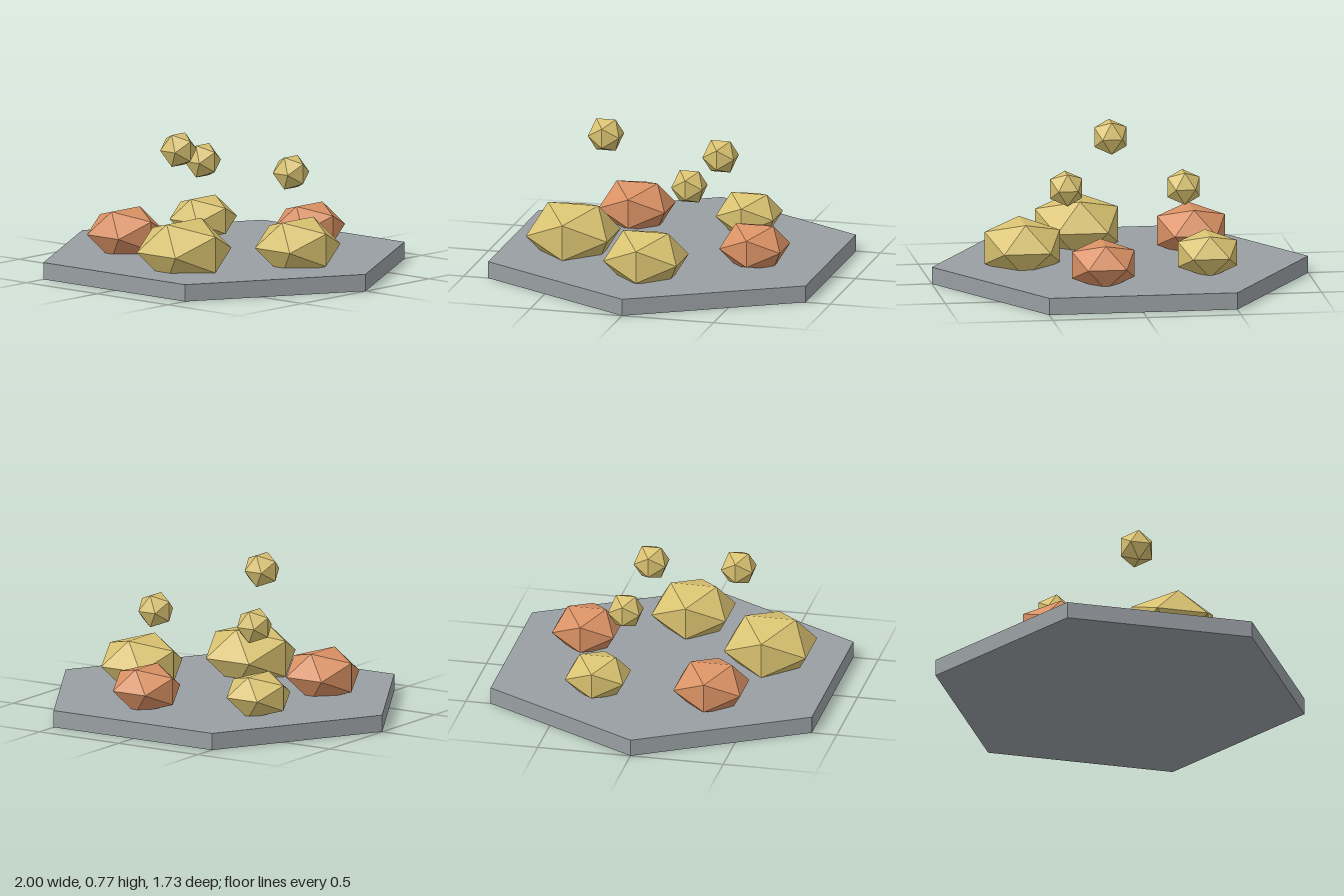
import * as THREE from 'three';

const material = (name, color) => {
  const m = new THREE.MeshStandardMaterial({ color, flatShading: true });
  m.name = name;
  return m;
};

export function createModel() {
  const group = new THREE.Group();
  const stone = material('grey stone', 0x989ea2);
  const gold = material('pale gold', 0xd8c170);
  const copper = material('copper', 0xd99164);

  const add = (name, geometry, mat, x, y, z) => {
    const mesh = new THREE.Mesh(geometry, mat);
    mesh.name = name;
    mesh.position.set(x, y, z);
    group.add(mesh);
  };

  // Twenty-sided nugget with its top edge running front to back
  const nugget = (radius, squash) =>
    new THREE.IcosahedronGeometry(radius, 0).rotateY(Math.PI / 2).scale(1, squash, 1);

  // Hexagonal slab with corners on the x axis
  add('base', new THREE.CylinderGeometry(1, 1, 0.09, 6).rotateY(Math.PI / 6), stone, 0, 0.045, 0);

  // Ring of five flattened nuggets, partly sunk into the slab
  const rocks = [[0.235, gold], [0.26, gold], [0.212, copper], [0.185, gold], [0.195, copper]];
  rocks.forEach(([radius, mat], i) => {
    const a = (i * Math.PI * 2) / 5;
    add('nugget' + (i + 1), nugget(radius, 0.7), mat, 0.52 * Math.cos(a), 0.185, 0.52 * Math.sin(a));
  });

  // Three small nuggets floating above
  [0.685, 0.52, 0.53].forEach((y, i) => {
    const a = Math.PI / 2 + (i * Math.PI * 2) / 3;
    add('floatingNugget' + (i + 1), nugget(0.1, 1), gold, 0.36 * Math.cos(a), y, 0.36 * Math.sin(a));
  });

  return group;
}
